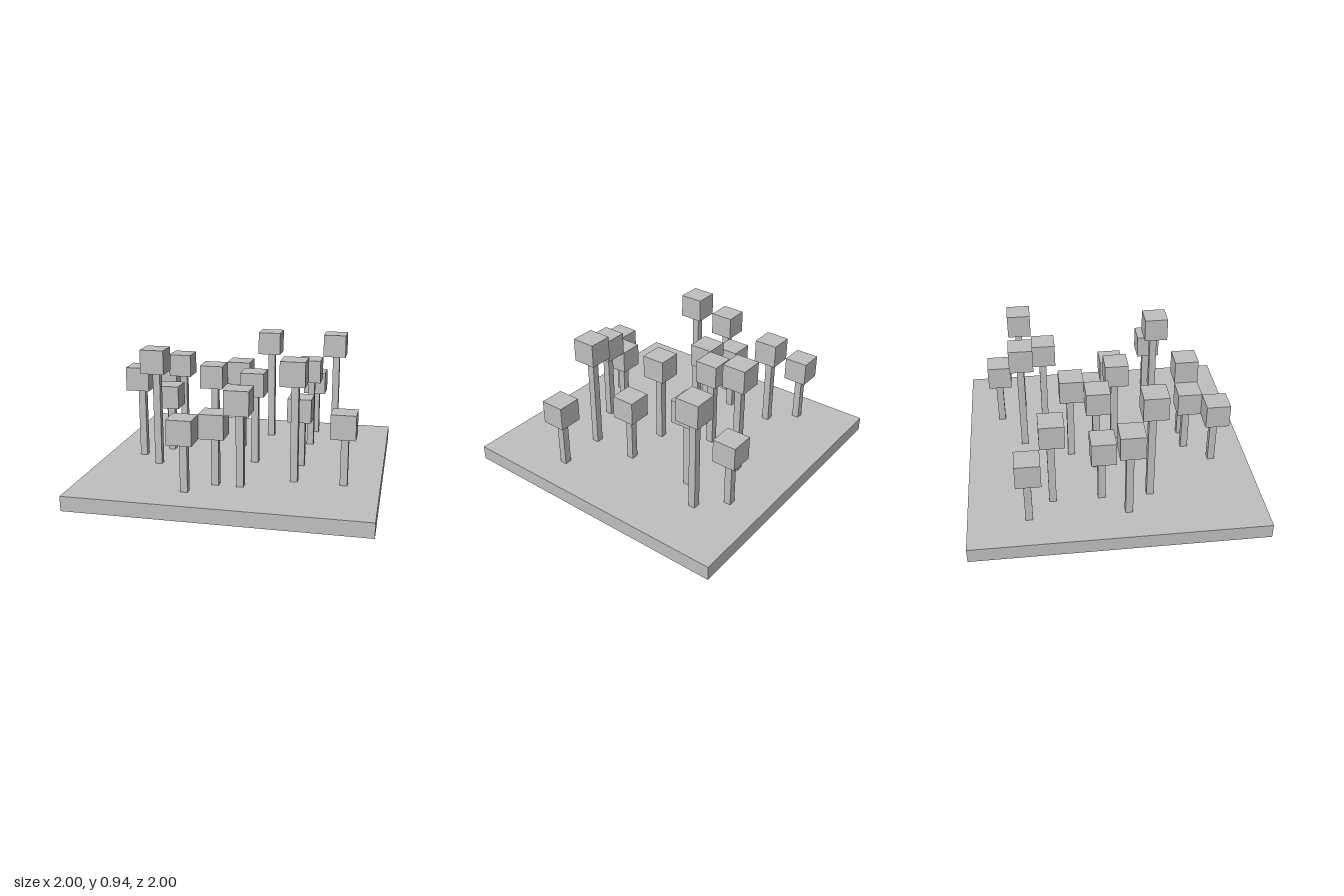
import * as THREE from 'three';

const CELL = 1 / 6;        // tree grid spacing and crown size
const BASE_TOP = 0.102;
const CROWN_BOTTOM = 0.437; // underside of the lowest crowns
const TRUNK = 0.3 * CELL;

// column, row (cells from the centre) and height level of each tree
const TREES = [
  [-5, -4, 0], [-4, -3, 1], [0, -4, 2], [2, -5, 0], [3, -4, 2], [2, -3, 1],
  [-1, -2, 1], [-2, -1, 1], [-4, -1, 0], [-5, 0, 1], [-4, 1, 2], [0, 0, 1],
  [2, 0, 0], [2, 2, 2], [4, 2, 0], [-1, 3, 0], [0, 3, 1], [-2, 4, 0],
];

export function createModel() {
  const model = new THREE.Group();
  model.name = 'blockGrove';
  const grey = new THREE.MeshStandardMaterial({ color: 0xc0c0c0 });
  grey.name = 'light grey';

  const addBox = (parent, name, w, h, d, x, bottom, z) => {
    const mesh = new THREE.Mesh(new THREE.BoxGeometry(w, h, d), grey);
    mesh.name = name;
    mesh.position.set(x, bottom + h / 2, z);
    parent.add(mesh);
  };

  // ground slab
  addBox(model, 'base', 2, BASE_TOP, 2, 0, 0, 0);

  // trees: a thin, slightly off-centre trunk under a cube crown
  for (const [col, row, level] of TREES) {
    const tree = new THREE.Group();
    tree.name = 'tree';
    tree.position.set((col + 0.5) * CELL, 0, (row + 0.5) * CELL);
    const bottom = CROWN_BOTTOM + level * CELL;
    const shift = 0.05 * CELL;
    addBox(tree, 'trunk', TRUNK, bottom - BASE_TOP, TRUNK, shift, BASE_TOP, -shift);
    addBox(tree, 'crown', CELL, CELL, CELL, 0, bottom, 0);
    model.add(tree);
  }
  return model;
}
